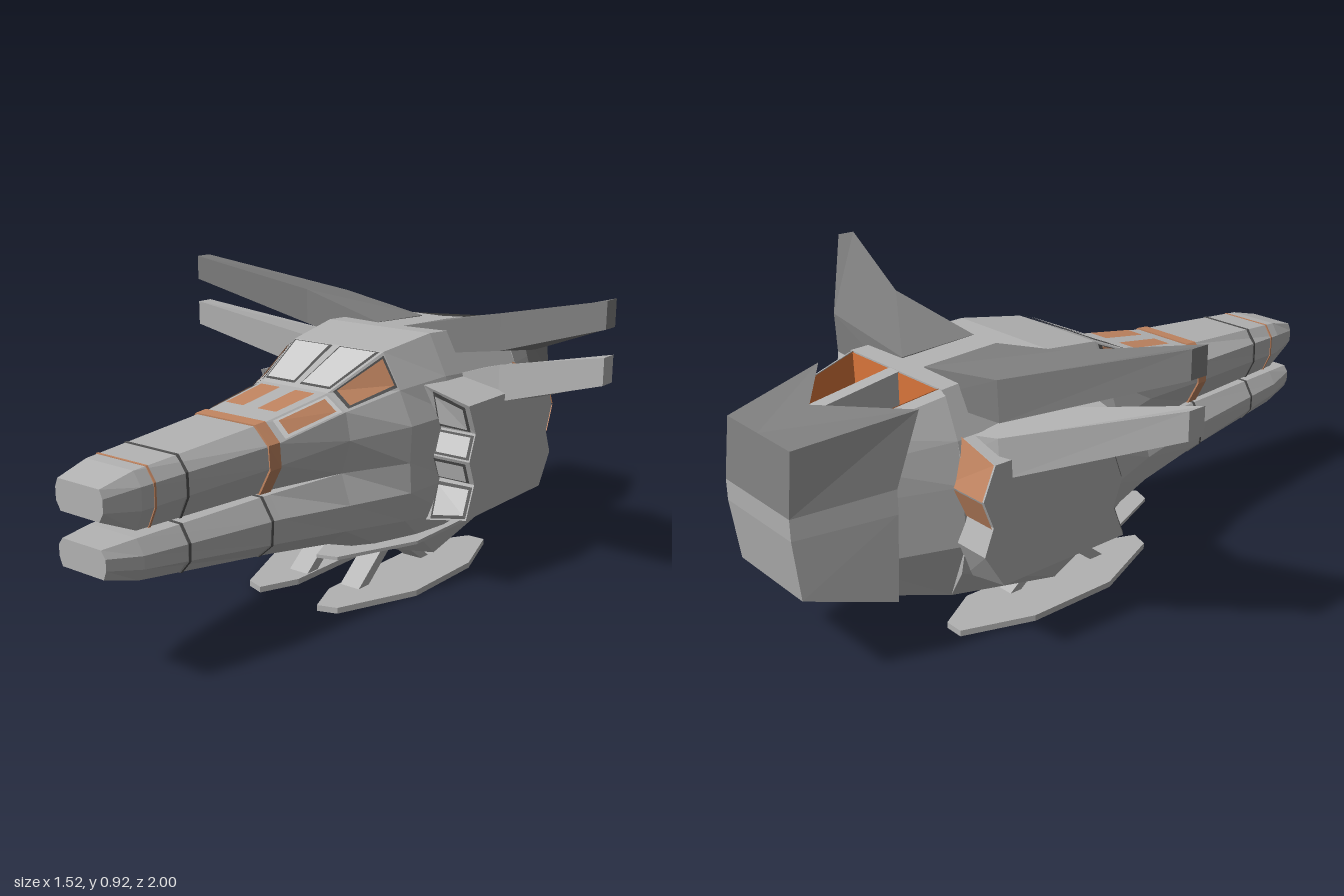
import * as THREE from 'three';

const paint = (name, color, side = THREE.FrontSide) => {
  const m = new THREE.MeshStandardMaterial({ color, side });
  m.name = name;
  return m;
};

// Flat-faced geometry from triangles given as point triples
function soup(points) {
  const g = new THREE.BufferGeometry();
  g.setAttribute('position', new THREE.Float32BufferAttribute(points.flat(), 3));
  g.computeVertexNormals();
  return g;
}
const quads = list => soup(list.flatMap(([a, b, c, d]) => [a, b, c, a, c, d]));

// Skin between rings (clockwise seen from +z, z falling), with both ends closed
function loft(rings) {
  const pts = [];
  for (let r = 0; r < rings.length - 1; r++) {
    const p = rings[r], q = rings[r + 1], n = p.length;
    for (let i = 0; i < n; i++) {
      const j = (i + 1) % n;
      pts.push(p[i], p[j], q[j], p[i], q[j], q[i]);
    }
  }
  [[rings[0], 1], [rings[rings.length - 1], -1]].forEach(([ring, dir]) => {
    const flat = ring.map(p => new THREE.Vector2(p[0], p[1]));
    for (const [a, b, c] of THREE.ShapeUtils.triangulateShape(flat, [])) {
      const area = (flat[b].x - flat[a].x) * (flat[c].y - flat[a].y) - (flat[b].y - flat[a].y) * (flat[c].x - flat[a].x);
      pts.push(ring[a], ...(area * dir > 0 ? [ring[b], ring[c]] : [ring[c], ring[b]]));
    }
  });
  return soup(pts);
}

// Full ring from half a section, listed top to bottom
const ring = ([z, half]) => [
  ...half.map(([x, y]) => [x, y, z]),
  ...half.slice().reverse().map(([x, y]) => [-x, y, z]),
];
const lerp = (a, b, t) => a.map((v, i) => v + (b[i] - v) * t);

// Section at any z, slightly enlarged about its middle
function sectionAt(sections, z, grow) {
  const i = sections.findIndex((s, k) => k + 1 < sections.length && z <= s[0] && z >= sections[k + 1][0]);
  const [z0, h0] = sections[i], [z1, h1] = sections[i + 1];
  const half = h0.map((p, k) => lerp(p, h1[k], (z - z0) / (z1 - z0)));
  const cy = (half[0][1] + half[half.length - 1][1]) / 2;
  return [z, half.map(([x, y]) => [x + grow, y + Math.sign(y - cy) * grow])];
}

// Thin panel on part of a four-cornered face, lifted along its normal
function patch([a, b, c, d], u0, u1, v0, v1, lift = 0.006) {
  const at = (u, v) => lerp(lerp(a, d, u), lerp(b, c, u), v);
  const V = p => new THREE.Vector3(...p);
  const n = V(c).sub(V(a)).cross(V(d).sub(V(b))).normalize().multiplyScalar(lift).toArray();
  const up = p => p.map((v, i) => v + n[i]);
  return quads([[at(u0, v0), at(u0, v1), at(u1, v1), at(u1, v0)].map(up)]);
}

const upperNose = [
  [1, [[0.075, 0.558], [0.085, 0.535], [0.085, 0.5], [0.07, 0.475]]],
  [0.9, [[0.085, 0.582], [0.11, 0.545], [0.11, 0.485], [0.085, 0.43]]],
  [0.45, [[0.105, 0.61], [0.155, 0.56], [0.16, 0.5], [0.12, 0.425]]],
  [0.2, [[0.12, 0.645], [0.185, 0.6], [0.2, 0.52], [0.17, 0.42]]],
];
const lowerNose = [
  [1, [[0.07, 0.405], [0.085, 0.385], [0.085, 0.355], [0.075, 0.33]]],
  [0.9, [[0.085, 0.41], [0.11, 0.37], [0.11, 0.335], [0.085, 0.3]]],
  [0.45, [[0.12, 0.412], [0.16, 0.35], [0.155, 0.28], [0.105, 0.237]]],
  [0.2, [[0.17, 0.42], [0.2, 0.33], [0.185, 0.25], [0.12, 0.197]]],
];
const body = [
  [0.2, [[0.12, 0.645], [0.185, 0.6], [0.2, 0.52], [0.17, 0.42], [0.2, 0.33], [0.185, 0.25], [0.12, 0.197]]],
  [0, [[0.165, 0.735], [0.225, 0.63], [0.27, 0.53], [0.265, 0.42], [0.27, 0.33], [0.25, 0.24], [0.19, 0.14]]],
  [-0.2, [[0.19, 0.763], [0.25, 0.64], [0.28, 0.53], [0.28, 0.42], [0.28, 0.33], [0.27, 0.22], [0.22, 0.075]]],
  [-0.57, [[0.21, 0.742], [0.27, 0.62], [0.29, 0.53], [0.29, 0.42], [0.29, 0.33], [0.27, 0.24], [0.22, 0.155]]],
];
// Rear hull with an open channel on top
const rear = [
  [-0.57, [[0.195, 0.61], [0.2, 0.742], [0.225, 0.73], [0.27, 0.62], [0.29, 0.5], [0.29, 0.33], [0.22, 0.155]]],
  [-0.85, [[0.14, 0.58], [0.145, 0.68], [0.165, 0.67], [0.185, 0.6], [0.19, 0.5], [0.19, 0.33], [0.16, 0.235]]],
];

export function createModel() {
  const hull = paint('hull gray', 0xb2b2b2);
  const dark = paint('dark gray', 0x7e7e7e, THREE.DoubleSide);
  const shell = paint('shell gray', 0xaeaeae, THREE.DoubleSide);
  const light = paint('panel gray', 0xcacaca, THREE.DoubleSide);
  const amber = paint('muted orange', 0xc08460, THREE.DoubleSide);
  const orange = paint('engine orange', 0xd8743a, THREE.DoubleSide);
  const seam = paint('seam gray', 0x525252, THREE.DoubleSide);
  const model = new THREE.Group();

  const add = (name, geo, mat) => {
    const m = new THREE.Mesh(geo, mat);
    m.name = name;
    model.add(m);
  };
  // Adds a left part and its mirrored right twin
  const both = (name, geo, mat) => {
    const g = geo.index ? geo.toNonIndexed() : geo;
    const p = g.attributes.position, out = [];
    for (let i = 0; i < p.count; i += 3)
      for (const k of [i, i + 2, i + 1]) out.push([-p.getX(k), p.getY(k), p.getZ(k)]);
    add(name + 'Left', g, mat);
    add(name + 'Right', soup(out), mat);
  };
  // Skin running along x: rings of [z, y], outermost first
  const sideways = list => loft(list.map(([x, pts]) => pts.map(([z, y]) => [-z, y, x]))).rotateY(Math.PI / 2);

  // Hull
  add('upperNose', loft(upperNose.map(ring)), hull);
  add('lowerNose', loft(lowerNose.map(ring)), hull);
  add('body', loft(body.map(ring)), hull);
  add('rearHull', loft(rear.map(ring)), hull);

  // Bands and seams around the noses
  const band = (name, s, z0, z1, mat, grow = 0.003) =>
    add(name, loft([z0, z1].map(z => ring(sectionAt(s, z, grow)))), mat);
  band('orangeBand', upperNose, 0.49, 0.45, amber, 0.004);
  band('upperSeam', upperNose, 0.765, 0.757, seam, 0.002);
  band('frontLine', upperNose, 0.863, 0.857, amber, 0.002);
  band('lowerSeam', lowerNose, 0.765, 0.757, seam, 0.002);
  band('lowerBandSeam', lowerNose, 0.485, 0.477, seam, 0.002);

  // Windows: face corners run front-inner, front-outer, back-outer, back-inner
  const face = (s, i) => {
    const f = ring(s[0]), b = ring(s[1]);
    return [f[i], f[i + 1], b[i + 1], b[i]];
  };
  const roof = s => {
    const f = ring(s[0])[0], b = ring(s[1])[0];
    return [[0, f[1], f[2]], f, b, [0, b[1], b[2]]];
  };
  const nose = upperNose.slice(2);
  both('noseWindow', patch(roof(nose), 0.25, 0.88, 0.24, 0.84), amber);
  both('noseSideFrame', patch(face(nose, 0), 0.1, 0.95, 0.1, 0.95, 0.003), light);
  both('noseSideWindow', patch(face(nose, 0), 0.16, 0.88, 0.2, 0.85), amber);
  both('windshieldFrame', patch(roof(body), 0.06, 0.96, 0.08, 0.97, 0.004), seam);
  both('windshield', patch(roof(body), 0.09, 0.93, 0.13, 0.92, 0.007), light);
  both('cockpitSideFrame', patch(face(body, 0), 0.06, 0.97, 0.08, 0.92, 0.004), seam);
  both('cockpitSideWindow', patch(face(body, 0), 0.1, 0.92, 0.14, 0.85, 0.009), amber);

  // Engine bay lining and centre strut
  const f = ring(rear[0]), b = ring(rear[1]);
  add('bayFloor', quads([[[-0.195, 0.614, -0.57], [0.195, 0.614, -0.57], [0.14, 0.584, -0.85], [-0.14, 0.584, -0.85]]]), orange);
  add('bayFrontWall', quads([[[-0.195, 0.74, -0.574], [0.195, 0.74, -0.574], [0.195, 0.61, -0.574], [-0.195, 0.61, -0.574]]]), orange);
  both('baySideWall', quads([[f[0], f[1], b[1], b[0]].map(([x, y, z]) => [x - 0.004, y, z])]), orange);
  add('bayStrut', loft([
    [-0.565, [[0.022, 0.742], [0.022, 0.6]]],
    [-0.85, [[0.022, 0.695], [0.022, 0.57]]],
  ].map(ring)), hull);

  // Rear cowl: three bands of side and back panels, notched dark top
  const front = [[0.235, 0.72, -0.66], [0.242, 0.53, -0.74], [0.242, 0.46, -0.74], [0.222, 0.2, -0.74]];
  const back = [[0.155, 0.672, -0.98], [0.16, 0.5, -1], [0.16, 0.44, -1], [0.155, 0.265, -0.98]];
  const flip = ([x, y, z]) => [-x, y, z];
  ['Upper', 'Middle', 'Lower'].forEach((level, i) => {
    const mat = i ? shell : dark;
    both('cowl' + level, quads([[front[i], front[i + 1], back[i + 1], back[i]]]), mat);
    add('cowlBack' + level, quads([[back[i], back[i + 1], flip(back[i + 1]), flip(back[i])]]), mat);
  });
  add('cowlBottom', quads([[front[3], flip(front[3]), flip(back[3]), back[3]]]), shell);
  both('cowlTop', quads([[front[0], back[0], [0, 0.672, -0.98], [0, 0.708, -0.83]]]), dark);

  // Swept wings, two per side
  const wing = (dy, root) => sideways([
    [0.76, [[-0.195, 0.918], [-0.25, 0.918], [-0.25, 0.84], [-0.195, 0.84]]],
    [0.37, [[-0.305, 0.828], [-0.52, 0.8], [-0.515, 0.685], [-0.305, 0.715]]],
    [root, [[-0.265, 0.76], [-0.51, 0.748], [-0.51, 0.66], [-0.265, 0.67]]],
  ].map(([x, pts]) => [x, pts.map(([z, y]) => [z, y + dy])]));
  both('upperWing', wing(0, 0.05), dark);
  both('lowerWing', wing(-0.155, 0.15), hull);

  // Side pods with zigzag ends
  const ys = [0.59, 0.5, 0.42, 0.345, 0.245], fz = [-0.1, -0.14, -0.11, -0.14, -0.1], rz = [-0.55, -0.59, -0.56, -0.59, -0.53];
  const px = [0.39, 0.402, 0.39, 0.402, 0.39], yIn = [0.63, 0.5, 0.42, 0.345, 0.215];
  const podRing = y => [...rz.map((z, i) => [z, y[i]]), ...fz.map((z, i) => [z, y[i]]).reverse()];
  both('pod', sideways([[0.397, podRing(ys)], [0.24, podRing(yIn)]]), hull);
  for (let i = 0; i < 4; i++) {
    const corners = [[0.265, yIn[i], fz[i]], [0.265, yIn[i + 1], fz[i + 1]], [px[i], ys[i + 1], fz[i + 1]], [px[i], ys[i], fz[i]]];
    both('intakeFrame' + i, patch(corners, 0.06, 0.95, 0.08, 0.94, 0.004), seam);
    both('intakePanel' + i, patch(corners, 0.12, 0.89, 0.16, 0.86, 0.008), light);
    if (i < 2) both('podThruster' + i, patch(
      [[0.397, ys[i], rz[i]], [0.397, ys[i + 1], rz[i + 1]], [0.25, yIn[i + 1], rz[i + 1]], [0.25, yIn[i], rz[i]]], 0, 1, 0, 1), amber);
  }

  // Landing skis, stowed ski plates and struts
  const outline = [[0.06, 0.12], [0.11, 0.24], [0.17, 0.22], [0.275, -0.03], [0.275, -0.32], [0.2, -0.53], [0.14, -0.53], [0.06, -0.4]];
  const skiShape = new THREE.Shape(outline.map(([x, z]) => new THREE.Vector2(x, -z)));
  const ski = (y, depth) => new THREE.ExtrudeGeometry(skiShape, { depth, bevelEnabled: false }).rotateX(-Math.PI / 2).translate(0, y, 0);
  both('ski', ski(0, 0.018), hull);
  both('skiPlate', ski(0.165, 0.01), hull);
  const strut = (z0, y0, z1, y1, w) => sideways([0.135, 0.065].map(x => [x, [[z1 + w, y1], [z1 - w, y1], [z0 - w, y0], [z0 + w, y0]]]));
  both('frontStrut', strut(0.05, 0.015, -0.09, 0.13, 0.025), hull);
  both('rearStrut', strut(-0.28, 0.015, -0.17, 0.1, 0.02), hull);

  return model;
}
